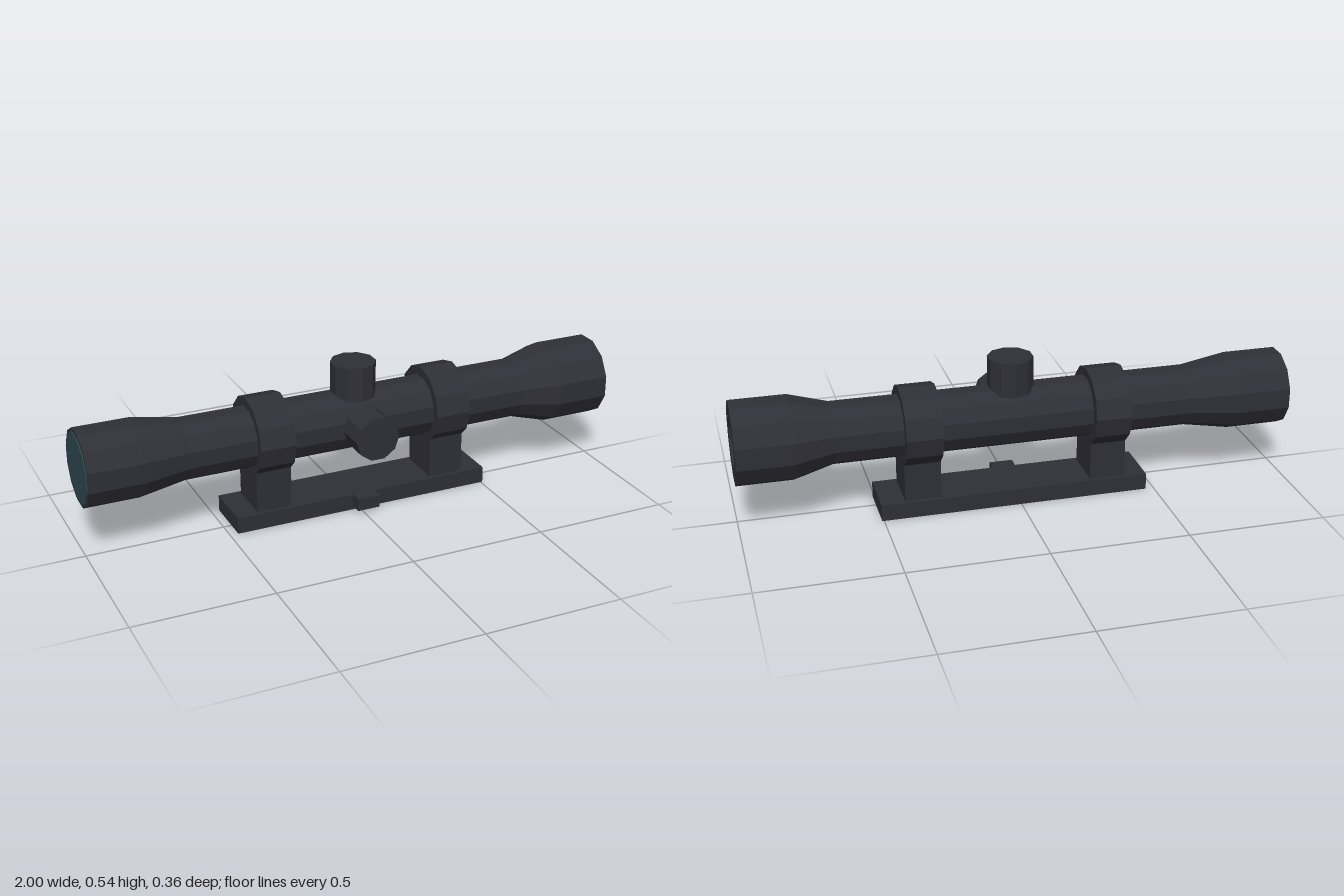
import * as THREE from 'three';

export function createModel() {
  const metal = new THREE.MeshStandardMaterial({ color: 0x2f2f37, flatShading: true });
  metal.name = 'dark gunmetal';
  const glass = new THREE.MeshStandardMaterial({ color: 0x2f4850, flatShading: true });
  glass.name = 'teal glass';

  const model = new THREE.Group();
  model.name = 'telescopicSight';
  const axisY = 0.319, axisZ = -0.033, turretX = 0.017;

  const add = (name, geometry, material, x, y, z) => {
    const mesh = new THREE.Mesh(geometry, material);
    mesh.name = name;
    mesh.position.set(x, y, z);
    model.add(mesh);
    return mesh;
  };
  // Box from its limits on each axis
  const addBox = (name, x0, x1, y0, y1, z0, z1) =>
    add(name, new THREE.BoxGeometry(x1 - x0, y1 - y0, z1 - z0), metal,
      (x0 + x1) / 2, (y0 + y1) / 2, (z0 + z1) / 2);

  // Twelve-sided hollow tube with a bell at each end: [radius, position along x]
  const profile = [
    [0.085, -0.996], [0.14, -0.996], [0.14, -0.8], [0.111, -0.63],
    [0.111, 0.66], [0.15, 0.8], [0.15, 1], [0.085, 1], [0.085, -0.996],
  ].map(([r, x]) => new THREE.Vector2(r, x));
  const tube = new THREE.LatheGeometry(profile, 12, Math.PI / 12);
  tube.rotateZ(-Math.PI / 2);
  add('tube', tube, metal, 0, axisY, axisZ);

  // Lens over the narrow bell, also seen through the bore
  const lens = new THREE.CylinderGeometry(0.127, 0.127, 0.006, 12, 1, false, Math.PI / 12);
  lens.rotateZ(-Math.PI / 2);
  add('lens', lens, glass, -0.997, axisY, axisZ);

  // Mounting rings and the posts below them
  for (const x of [-0.325, 0.355]) {
    const ring = new THREE.CylinderGeometry(0.144, 0.144, 0.13, 12);
    // Open band with annular sides so the bore stays clear
    const band = new THREE.LatheGeometry(
      [[0.1, -0.065], [0.144, -0.065], [0.144, 0.065], [0.1, 0.065]]
        .map(([r, y]) => new THREE.Vector2(r, y)), 12);
    ring.dispose();
    band.rotateZ(-Math.PI / 2);
    add('mountRing', band, metal, x, axisY, -0.036);
    addBox('mountPost', x - 0.065, x + 0.065, 0.05, 0.215, -0.112, 0.053);
  }

  // Ten-sided adjustment turrets on the top and the front
  add('topTurret', new THREE.CylinderGeometry(0.082, 0.082, 0.127, 10), metal,
    turretX, 0.4735, -0.03);
  const side = new THREE.CylinderGeometry(0.082, 0.082, 0.122, 10, 1, false, Math.PI / 2);
  side.rotateX(Math.PI / 2);
  add('sideTurret', side, metal, turretX, axisY, 0.121);

  // Base rail and its clamp button
  addBox('baseRail', -0.47, 0.507, 0, 0.06, -0.127, 0.068);
  addBox('clampButton', -0.027, 0.058, 0.014, 0.06, 0.067, 0.113);

  return model;
}
